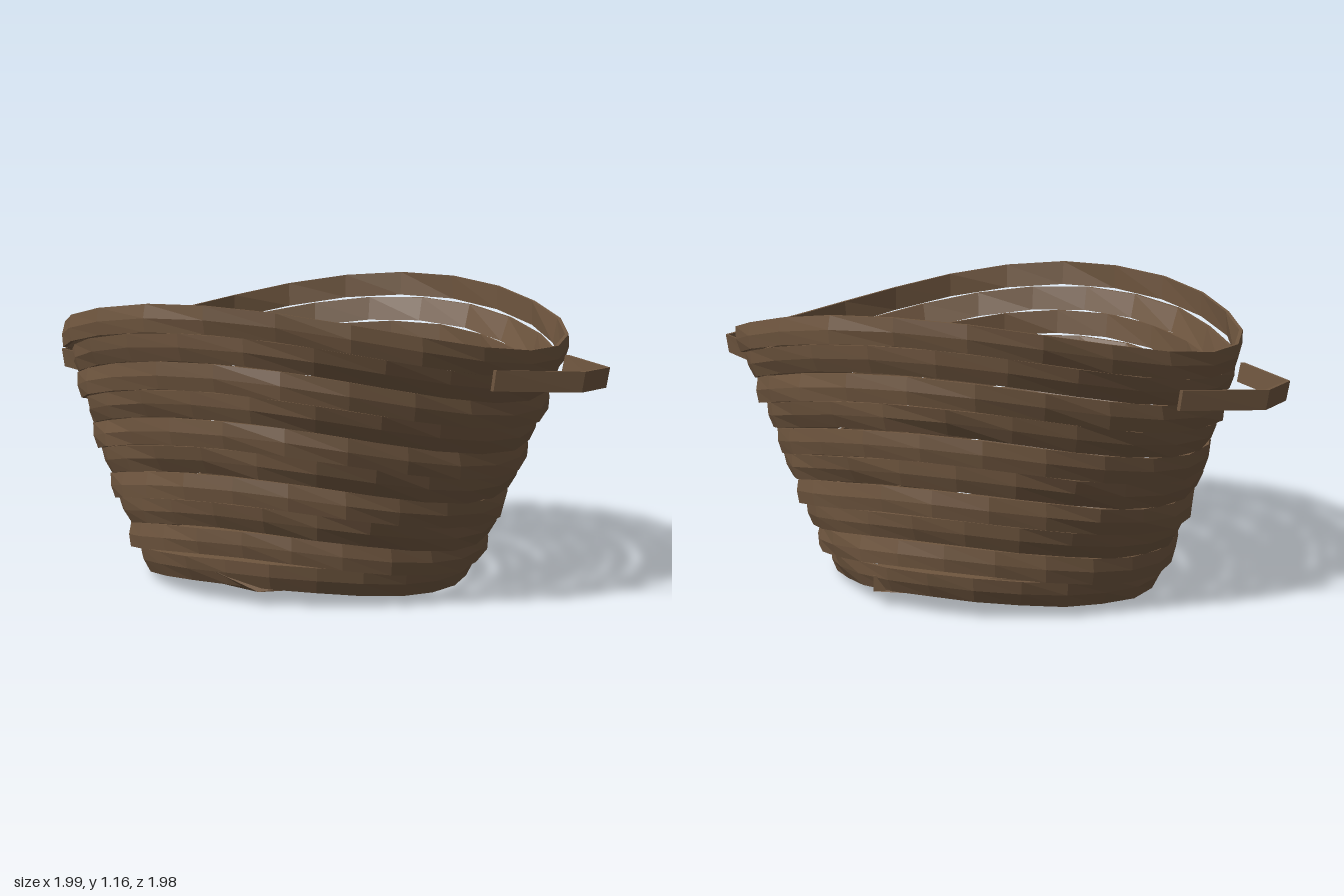
import * as THREE from 'three';

const wicker = new THREE.MeshStandardMaterial({ color: 0x6f563f, flatShading: true });
wicker.name = 'brown wicker';

// small seeded generator for the hand-woven irregularity
let seed = 7;
const rand = () => (seed = (seed * 16807) % 2147483647) / 2147483647 - 0.5;

// joins equal-length cross-sections (arrays of [x, y, z]) into a surface
function loft(sections, closed) {
  const n = sections[0].length, m = sections.length, index = [];
  for (let i = 0; i < (closed ? m : m - 1); i++) {
    for (let j = 0; j < n; j++) {
      const a = i * n + j, b = i * n + (j + 1) % n;
      const c = ((i + 1) % m) * n + j, d = ((i + 1) % m) * n + (j + 1) % n;
      index.push(a, b, d, a, d, c);
    }
  }
  if (!closed) {
    for (let j = 1; j < n - 1; j++) {
      index.push(0, j + 1, j);
      index.push((m - 1) * n, (m - 1) * n + j, (m - 1) * n + j + 1);
    }
  }
  const geo = new THREE.BufferGeometry();
  geo.setAttribute('position', new THREE.Float32BufferAttribute(sections.flat(2), 3));
  geo.setIndex(index);
  geo.computeVertexNormals();
  return geo;
}

function part(geo, name, parent) {
  const mesh = new THREE.Mesh(geo, wicker);
  mesh.name = name;
  parent.add(mesh);
}

// one wavy ring of the wall; t runs from 0 at the floor to 1 at the rim
function band(t, k) {
  const profile = [[-0.01, 0.05], [0.004, 0.05], [0.012, 0], [0.004, -0.05], [-0.01, -0.05]];
  const sides = 24, sections = [];
  const odd = k % 2 === 1;
  const radius = 0.66 + 0.315 * Math.pow(t, 0.9) + (odd ? 0.006 : 0);
  const wave = 0.035 + 0.06 * Math.sqrt(t);
  for (let i = 0; i < sides; i++) {
    const a = -(i / sides) * Math.PI * 2 + k * 0.4;
    const r = radius + rand() * 0.012;
    // every other band follows the slope of the wall
    const lean = (odd ? 0.002 : 0.016) + rand() * 0.014;
    const y = 0.084 + 0.92 * t - wave * Math.sin(2 * a) - 0.015 * t * Math.sin(a);
    sections.push(profile.map(([dr, dy]) => {
      const R = r + dr + lean * dy / 0.05;
      return [R * Math.cos(a) - 0.02 * (1 - t), y + dy, R * Math.sin(a) - 0.045 * (1 - t)];
    }));
  }
  return loft(sections, true);
}

// bent strap handle, wide in y, thin across, its top edge leaning outward
function handle() {
  const path = [[0.36, 0.925, 0.86], [0.68, 0.98, 0.85], [0.855, 0.83, 0.845], [0.85, 0.5, 0.86]];
  const profile = [[0.014, 0.038], [0.001, -0.038], [-0.014, -0.038], [-0.001, 0.038]];
  return loft(path.map(([x, z, y]) => {
    const l = Math.hypot(x, z);
    return profile.map(([out, up]) => [x + x / l * out, y + up, z + z / l * out]);
  }), false);
}

export function createModel() {
  const group = new THREE.Group();
  group.name = 'basket';

  // woven wall
  const wall = new THREE.Group();
  wall.name = 'wall';
  group.add(wall);
  const count = 10;
  for (let k = 0; k < count; k++) {
    part(band(k / (count - 1), k), k === count - 1 ? 'rim' : 'wallBand', wall);
  }

  // uneven six-sided floor slab
  const bottom = [[0.6, -0.315], [0, -0.7], [-0.45, -0.49], [-0.67, -0.03], [-0.39, 0.51], [0.2, 0.55]];
  const top = [[0.6, -0.315], [-0.17, -0.69], [-0.48, -0.5], [-0.67, -0.03], [-0.52, 0.4], [0.2, 0.55]];
  const level = (outline, y) => outline.map(([x, z]) => [x, y, z]);
  part(loft([level(bottom, 0.055), level(top, 0.115)], false), 'floor', group);

  // opposite handles
  for (const turn of [0, Math.PI]) {
    const holder = new THREE.Group();
    holder.name = turn ? 'backHandle' : 'frontHandle';
    holder.rotation.y = turn;
    holder.position.y = turn ? -0.03 : 0;
    part(handle(), 'handleStrap', holder);
    group.add(holder);
  }
  return group;
}
